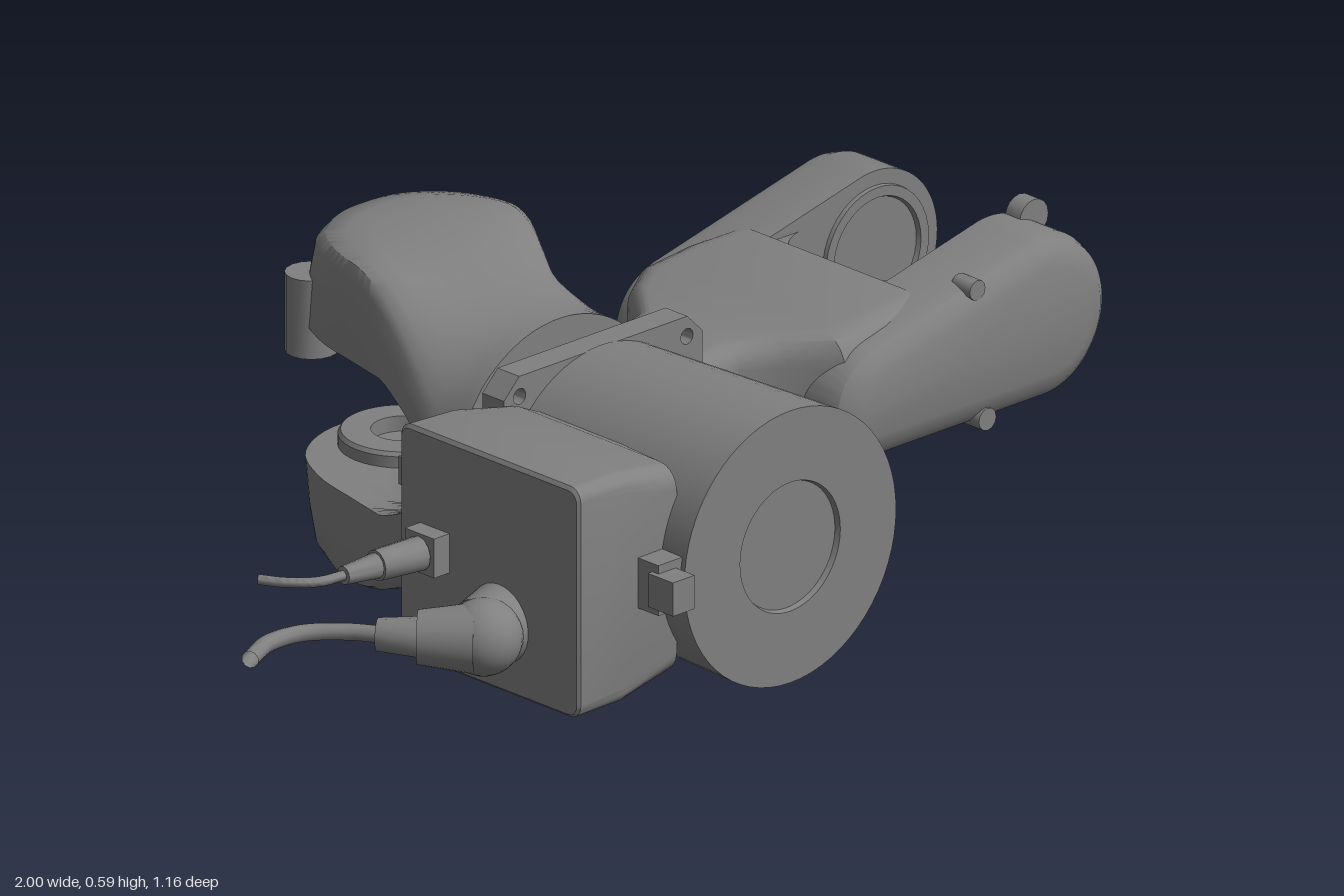
import * as THREE from 'three';
import { toCreasedNormals } from 'three/addons/utils/BufferGeometryUtils.js';

const grey = new THREE.MeshStandardMaterial({ color: 0x808080, side: THREE.DoubleSide });
grey.name = 'machine grey';
const CX = -0.157, CY = 0.29; // axis of the base

export function createModel() {
  const model = new THREE.Group();
  model.name = 'robotArm';

  const add = (name, geo, crease = 0.6) => {
    const mesh = new THREE.Mesh(toCreasedNormals(geo, crease), grey);
    mesh.name = name;
    model.add(mesh);
    return mesh;
  };

  // Skin over rings with equal point counts, with fan caps
  const loft = (rings) => {
    const n = rings[0].length, pos = [], idx = [];
    rings.forEach((r) => r.forEach((p) => pos.push(p.x, p.y, p.z)));
    for (let i = 0; i < rings.length - 1; i++) {
      for (let j = 0; j < n; j++) {
        const a = i * n + j, b = i * n + (j + 1) % n;
        idx.push(a, b, b + n, a, b + n, a + n);
      }
    }
    [0, rings.length - 1].forEach((i) => {
      const c = rings[i].reduce((s, p) => s.add(p), new THREE.Vector3()).divideScalar(n);
      const k = pos.length / 3;
      pos.push(c.x, c.y, c.z);
      for (let j = 0; j < n; j++) {
        const a = i * n + j, b = i * n + (j + 1) % n;
        if (i) idx.push(a, b, k); else idx.push(b, a, k);
      }
    });
    const g = new THREE.BufferGeometry();
    g.setAttribute('position', new THREE.Float32BufferAttribute(pos, 3));
    g.setIndex(idx);
    return g;
  };

  // Rounded rectangular section across x
  const section = ([x, z0, z1, y0, y1, r]) => {
    const pts = [];
    [[z1, y1, 0], [z0, y1, 1], [z0, y0, 2], [z1, y0, 3]].forEach(([z, y, q]) => {
      const sz = q === 0 || q === 3 ? -1 : 1, sy = q < 2 ? -1 : 1;
      for (let i = 0; i <= 5; i++) {
        const a = (q + i / 5) * Math.PI / 2;
        pts.push(new THREE.Vector3(x, y + sy * r + r * Math.sin(a), z + sz * r + r * Math.cos(a)));
      }
    });
    return pts;
  };

  // Cylinder between two points
  const rod = (name, a, b, r0, r1 = r0, seg = 32) => {
    const A = new THREE.Vector3(...a), B = new THREE.Vector3(...b), d = B.clone().sub(A);
    const g = new THREE.CylinderGeometry(r1, r0, d.length(), seg);
    g.applyQuaternion(new THREE.Quaternion().setFromUnitVectors(new THREE.Vector3(0, 1, 0), d.normalize()));
    g.translate(...A.add(B).multiplyScalar(0.5).toArray());
    return add(name, g);
  };
  const box = (name, w, h, d, x, y, z) => add(name, new THREE.BoxGeometry(w, h, d).translate(x, y, z));
  const cable = (name, pts, r) => add(name, new THREE.TubeGeometry(
    new THREE.CatmullRomCurve3(pts.map((p) => new THREE.Vector3(...p))), 32, r, 10), 1);

  // Base drum with recessed front disc
  const profile = [[0, 0.085], [0.228, 0.085], [0.243, 0.54], [0.115, 0.54], [0.112, 0.53], [0, 0.53]];
  add('baseDrum', new THREE.LatheGeometry(profile.map((p) => new THREE.Vector2(...p)), 64)
    .rotateX(Math.PI / 2).translate(CX, CY, 0));

  // Mounting flange with corner bolt holes
  const h = 0.228, c = 0.035, flange = new THREE.Shape();
  [[-h + c, -h], [h - c, -h], [h, -h + c], [h, h - c], [h - c, h], [-h + c, h], [-h, h - c], [-h, -h + c]]
    .forEach(([x, y], i) => (i ? flange.lineTo(x, y) : flange.moveTo(x, y)));
  for (const sx of [-1, 1]) for (const sy of [-1, 1]) {
    flange.holes.push(new THREE.Path().absarc(sx * 0.192, sy * 0.192, 0.014, 0, Math.PI * 2, true));
  }
  add('mountingFlange', new THREE.ExtrudeGeometry(flange, { depth: 0.052, bevelEnabled: false })
    .translate(CX + 0.005, CY - 0.003, 0.035));

  // Connector housing behind the drum
  add('connectorHousing', loft([
    [-0.585, 0.055, 0.475, 0.085, 0.485, 0.02], [-0.58, 0.05, 0.48, 0.08, 0.492, 0.025],
    [-0.48, 0.052, 0.482, 0.08, 0.49, 0.03], [-0.36, 0.065, 0.48, 0.1, 0.47, 0.04],
    [-0.295, 0.075, 0.24, 0.13, 0.44, 0.04]].map(section)), 0.45);
  box('frontSocket', 0.05, 0.06, 0.06, -0.435, 0.29, 0.545);
  box('frontSocketPlate', 0.07, 0.09, 0.05, -0.415, 0.29, 0.505);

  // Signal connector and thin cable
  box('signalSocket', 0.04, 0.07, 0.07, -0.6, 0.29, 0.135);
  rod('signalPlug', [-0.62, 0.29, 0.135], [-0.71, 0.29, 0.125], 0.03, 0.027, 12);
  rod('signalGland', [-0.71, 0.29, 0.125], [-0.78, 0.29, 0.12], 0.022, 0.016, 12);
  cable('signalCable', [[-0.77, 0.29, 0.12], [-0.83, 0.29, 0.11], [-0.87, 0.29, 0.075], [-0.893, 0.29, 0.035]], 0.009);

  // Power connector elbow and thick cable
  rod('powerSocket', [-0.58, 0.2, 0.29], [-0.64, 0.2, 0.3], 0.07, 0.06);
  add('powerElbow', new THREE.SphereGeometry(0.066, 24, 16).translate(-0.645, 0.2, 0.315));
  rod('powerPlug', [-0.66, 0.2, 0.31], [-0.725, 0.2, 0.24], 0.06, 0.046);
  rod('powerGland', [-0.72, 0.2, 0.245], [-0.765, 0.2, 0.185], 0.035, 0.028, 12);
  cable('powerCable', [[-0.755, 0.2, 0.2], [-0.79, 0.2, 0.145], [-0.85, 0.2, 0.095], [-0.92, 0.2, 0.088], [-0.995, 0.2, 0.12]], 0.015);

  // Turning joint between the drum and the yoke
  rod('jointDisc', [CX, CY, 0.05], [CX, CY, 0.012], 0.165);
  rod('jointShaft', [CX, CY, 0.05], [CX, CY, -0.03], 0.09);
  rod('jointRing', [CX, CY, 0.002], [CX, CY, -0.03], 0.165);

  // Yoke: half a disc at its root that swells into a rounded lobe, mirrored below
  const plan = [[-0.4, -0.015], [-0.385, -0.1], [-0.355, -0.22], [-0.33, -0.33], [-0.305, -0.43], [-0.25, -0.525],
    [-0.17, -0.572], [-0.1, -0.58], [-0.02, -0.565], [0.05, -0.505], [0.085, -0.42], [0.08, -0.34], [0.045, -0.265],
    [0.01, -0.19], [0.03, -0.1], [0.085, -0.015]].map(([x, z]) => new THREE.Vector3(x, 0, z));
  const outline = new THREE.CatmullRomCurve3(plan, false, 'centripetal').getSpacedPoints(72);
  for (let i = 1; i < 24; i++) outline.push(new THREE.Vector3(0.085 - 0.485 * i / 24, 0, -0.015));
  const steps = [[0, 0], [0.2, 0], [0.35, 0], [0.5, 0], [0.7, 0], [0.85, 0], [1, 0], [0.985, 0.45], [0.96, 0.8],
    [0.92, 0.93], [0.84, 0.985], [0.72, 1], [0.55, 1], [0.4, 1], [0.25, 1], [0.1, 1], [0, 1]];
  const lobe = () => loft(steps.map(([s, t]) => outline.map((p) => {
    const x = CX + (p.x - CX) * s, z = -0.015 + (p.z + 0.015) * s;
    const inner = 0.122 * Math.sqrt(THREE.MathUtils.clamp((-z - 0.08) / 0.16, 0, 1));
    const k = THREE.MathUtils.smoothstep(-z, 0.04, 0.36);
    const disc = Math.sqrt(Math.max(0, 0.242 ** 2 - (x - CX) ** 2));
    const outer = Math.max(inner + 0.01 * k, disc * (1 - k) + 0.297 * k);
    return new THREE.Vector3(x, inner + (outer - inner) * t, z);
  })));
  for (const s of [1, -1]) {
    const side = s > 0 ? 'upper' : 'lower';
    const m = add(side + 'YokeLobe', lobe(), 0.7);
    m.position.y = 0.294;
    m.scale.y = s;
    const ring = [[0.055, 0.14], [0.055, 0.095], [0.105, 0.095], [0.11, 0.102], [0.11, 0.14]];
    const pad = add(side + 'YokeBearing', new THREE.LatheGeometry(ring.map((p) => new THREE.Vector2(...p)), 40));
    pad.position.set(-0.1, 0.294, -0.445);
    pad.scale.y = s;
  }
  box('yokeSideCover', 0.03, 0.05, 0.13, -0.375, 0.29, -0.09);
  rod('yokeDrainPlug', [CX, 0.025, -0.11], [CX, 0.1, -0.11], 0.022, 0.022, 12);
  rod('yokeSideStop', [-0.245, 0.36, -0.515], [-0.245, 0.5, -0.515], 0.045, 0.045, 16);

  // Arm: neck that widens into a bridge between the two fork lobes
  add('armNeck', loft([
    [-0.1, -0.24, -0.1, 0.22, 0.36, 0.05], [-0.05, -0.27, -0.08, 0.2, 0.385, 0.05],
    [0.06, -0.28, -0.055, 0.19, 0.385, 0.045], [0.13, -0.283, -0.05, 0.135, 0.365, 0.04],
    [0.22, -0.285, -0.05, 0.125, 0.345, 0.04], [0.29, -0.3, -0.05, 0.125, 0.35, 0.04],
    [0.36, -0.39, -0.01, 0.13, 0.355, 0.05], [0.42, -0.43, 0.07, 0.135, 0.365, 0.06],
    [0.52, -0.43, 0.08, 0.14, 0.375, 0.06], [0.615, -0.42, 0.07, 0.145, 0.38, 0.06]].map(section)), 0.5);
  // Concave fillets between the bridge and the lobes
  for (const [z, s] of [[-0.32, 1], [-0.03, -1]]) {
    const f = new THREE.Shape();
    f.moveTo(0.58, 0);
    f.lineTo(0.73, 0);
    f.quadraticCurveTo(0.615, 0, 0.612, 0.09);
    f.lineTo(0.58, 0.09);
    const m = add('forkFillet', new THREE.ExtrudeGeometry(f, { depth: 0.2, bevelEnabled: false }).rotateX(Math.PI / 2));
    m.position.set(0, 0.37, z);
    m.scale.z = s;
  }

  // Fork lobes, bevelled on the outer side only
  const EX = 0.855, EY = 0.285, R = 0.145;
  const lobeRing = (inset, z) => {
    const sh = new THREE.Shape(), r = R - inset;
    sh.moveTo(0.46, 0.14 + inset);
    sh.lineTo(EX, EY - r);
    sh.absarc(EX, EY, r, -Math.PI / 2, Math.PI * 0.56, false);
    sh.lineTo(0.47, 0.345 - inset);
    sh.quadraticCurveTo(0.38 + inset, 0.32 - inset, 0.375 + inset, 0.23);
    sh.quadraticCurveTo(0.38 + inset, 0.15 + inset, 0.46, 0.14 + inset);
    return sh.getPoints(20).slice(0, -1).map((p) => new THREE.Vector3(p.x, p.y, z));
  };
  for (const [name, z, s] of [['front', -0.04, 1], ['rear', -0.315, -1]]) {
    const m = add(name + 'ForkLobe', loft([[0, 0], [0, 0.105], [0.008, 0.128], [0.025, 0.142], [0.05, 0.15]]
      .map(([inset, d]) => lobeRing(inset, d))), 0.5);
    m.position.z = z;
    m.scale.z = s;
    const ring = [[0, 0.004], [0.095, 0.004], [0.1, -0.008], [0.118, -0.008], [0.12, 0.01]];
    const pad = add(name + 'ForkBearing', new THREE.LatheGeometry(ring.map((p) => new THREE.Vector2(...p)), 40)
      .rotateX(Math.PI / 2));
    pad.position.set(EX, EY, z);
    pad.scale.z = s;
  }

  // Small stops and caps on the arm
  rod('forkTipStop', [0.92, 0.42, -0.035], [0.92, 0.42, 0.0], 0.033, 0.033, 16);
  box('armStop', 0.06, 0.04, 0.04, 0.11, 0.29, -0.035);
  rod('lowerForkCap', [0.71, 0.15, 0.06], [0.71, 0.15, 0.108], 0.02, 0.02, 12);
  rod('upperForkCap', [0.69, 0.385, 0.06], [0.69, 0.385, 0.105], 0.018, 0.018, 12);
  return model;
}
